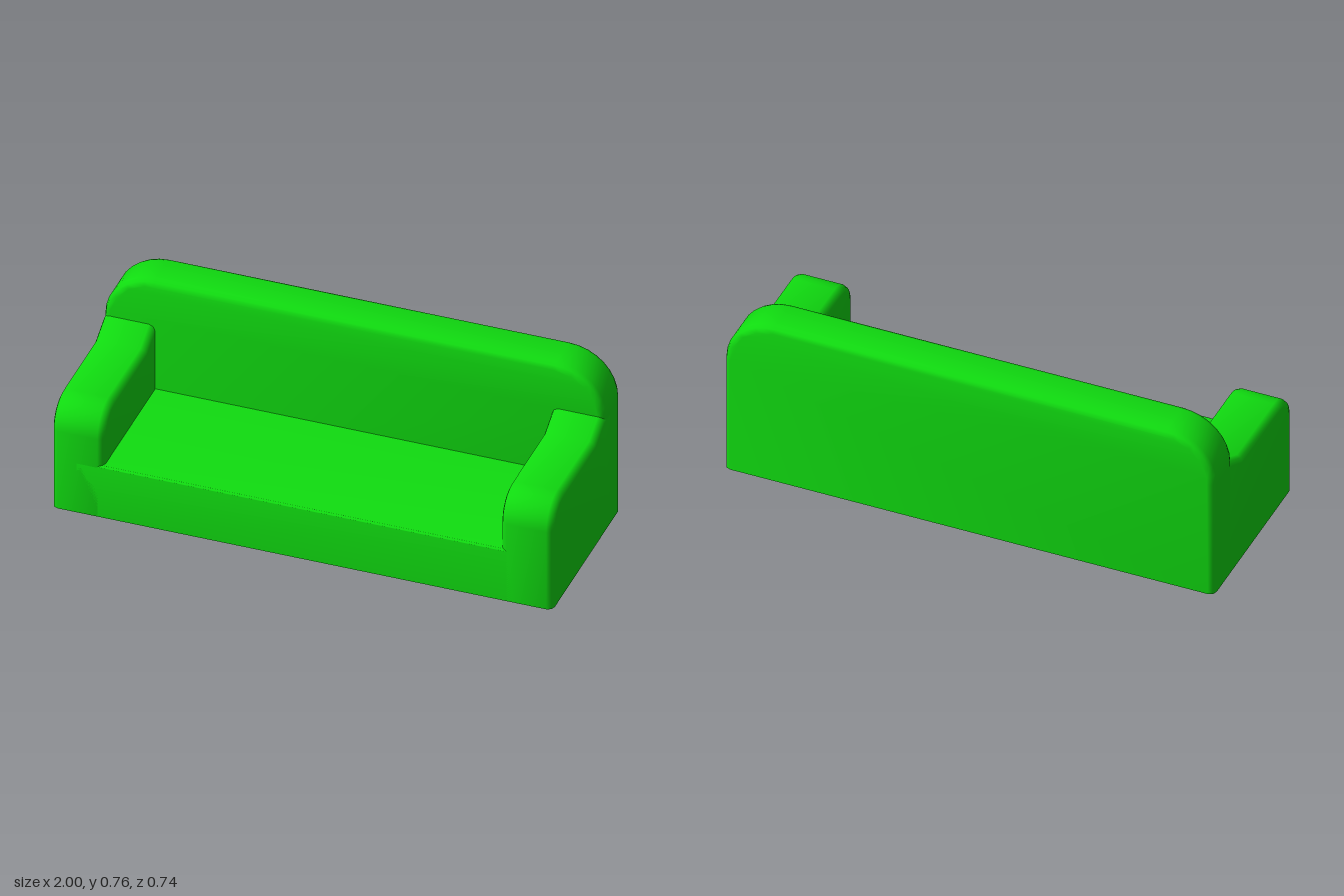
import * as THREE from 'three';
import { toCreasedNormals } from 'three/addons/utils/BufferGeometryUtils.js';

const BASE = 0.048; // underside height of the body
const BEVEL = 0.025;

const material = new THREE.MeshStandardMaterial({ color: 0x10dc10 });

// Extrudes a shape centred on its depth, rounds its edges and cuts it flat at the underside.
function slab(shape, depth, bevel, segments) {
  const geometry = new THREE.ExtrudeGeometry(shape, {
    depth: depth - 2 * bevel,
    bevelThickness: bevel,
    bevelSize: bevel,
    bevelOffset: -bevel,
    bevelSegments: segments,
    curveSegments: 4,
  });
  geometry.translate(0, 0, bevel - depth / 2);
  const p = geometry.attributes.position;
  for (let i = 0; i < p.count; i++) p.setY(i, Math.max(BASE, p.getY(i)));
  return toCreasedNormals(geometry, 0.9);
}

function addMesh(group, name, geometry, x, y, z) {
  const mesh = new THREE.Mesh(geometry, material);
  mesh.name = name;
  mesh.position.set(x, y, z);
  group.add(mesh);
}

export function createModel() {
  const sofa = new THREE.Group();
  sofa.name = 'sofa';

  // Backrest with rounded top corners
  const back = new THREE.Shape();
  back.moveTo(-1, BASE - BEVEL);
  back.lineTo(1, BASE - BEVEL);
  back.lineTo(1, 0.558);
  back.absarc(0.8, 0.558, 0.2, 0, Math.PI / 2, false);
  back.lineTo(-0.8, 0.758);
  back.absarc(-0.8, 0.558, 0.2, Math.PI / 2, Math.PI, false);
  back.closePath();
  addMesh(sofa, 'backrest', slab(back, 0.178, BEVEL, 2), 0, 0, -0.279);

  // Armrests: side profile (z, y) with a rounded front and a rise to the backrest
  const arm = new THREE.Shape();
  arm.moveTo(-0.28, BASE - BEVEL);
  arm.lineTo(0.368, BASE - BEVEL);
  arm.lineTo(0.368, 0.395);
  arm.absarc(0.25, 0.395, 0.118, 0, Math.PI / 2, false);
  arm.lineTo(-0.095, 0.513);
  arm.lineTo(-0.19, 0.564);
  arm.lineTo(-0.28, 0.564);
  arm.closePath();
  const armGeometry = slab(arm, 0.208, BEVEL, 2).rotateY(-Math.PI / 2);
  addMesh(sofa, 'leftArmrest', armGeometry, 0.896, 0, 0);
  addMesh(sofa, 'rightArmrest', armGeometry, -0.896, 0, 0);

  // Seat, flush with the armrest fronts and running into them
  const seat = new THREE.Shape();
  seat.moveTo(-0.26, BASE);
  seat.lineTo(0.368, BASE);
  seat.lineTo(0.368, 0.268);
  seat.absarc(0.358, 0.268, 0.01, 0, Math.PI / 2, false);
  seat.lineTo(-0.26, 0.278);
  seat.closePath();
  addMesh(sofa, 'seat', slab(seat, 1.8, 0, 0).rotateY(-Math.PI / 2), 0, 0, 0);

  // Four short square legs
  const leg = new THREE.BoxGeometry(0.058, BASE + 0.01, 0.058);
  for (const x of [-0.842, 0.86]) {
    for (const z of [0.265, -0.25]) {
      addMesh(sofa, 'leg', leg, x, (BASE + 0.01) / 2, z);
    }
  }

  return sofa;
}
